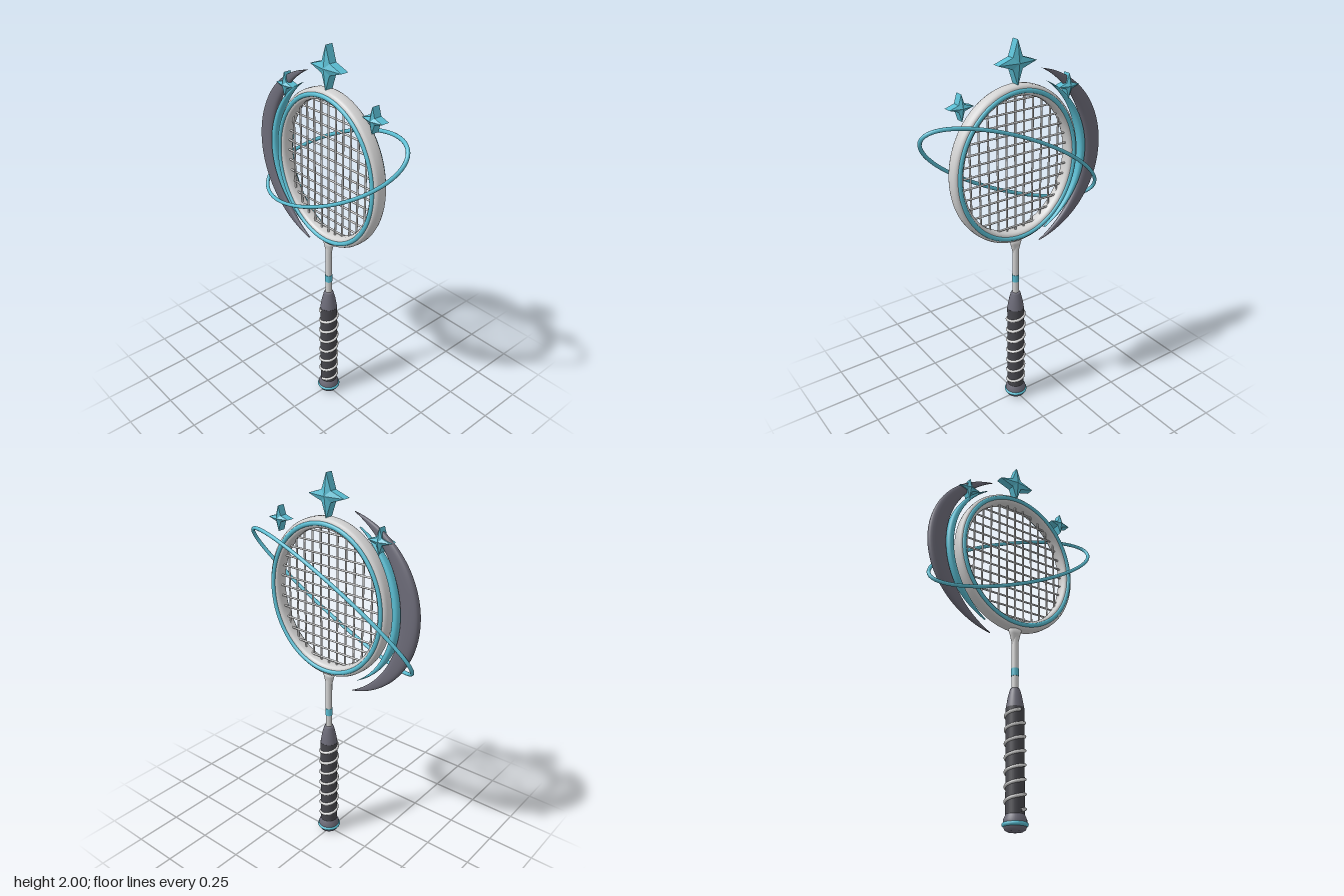
import * as THREE from 'three';

const mat = (name, color, side = THREE.FrontSide) => {
  const m = new THREE.MeshStandardMaterial({ color, side });
  m.name = name;
  return m;
};

const roundOff = (c, power) => Math.sign(c) * Math.abs(c) ** power;

// Surface from a point rule p(u, v), u and v in 0..1; v always closes, u closes on request
function loft(p, nu, nv, closedU) {
  const pos = [], idx = [], rows = closedU ? nu : nu + 1;
  for (let i = 0; i < rows; i++)
    for (let j = 0; j < nv; j++) pos.push(...p(i / nu, j / nv));
  for (let i = 0; i < nu; i++)
    for (let j = 0; j < nv; j++) {
      const a = i * nv + j, b = ((i + 1) % rows) * nv + j;
      const c = ((i + 1) % rows) * nv + (j + 1) % nv, d = i * nv + (j + 1) % nv;
      idx.push(a, b, c, a, c, d);
    }
  const g = new THREE.BufferGeometry();
  g.setAttribute('position', new THREE.Float32BufferAttribute(pos, 3));
  g.setIndex(idx);
  g.computeVertexNormals();
  return g;
}

// Oval hoop with a rounded section; power < 1 squares the section off
function hoop(rx, ry, w, h, z, power = 1) {
  return loft((u, v) => {
    const a = u * Math.PI * 2, b = v * Math.PI * 2;
    const r = w * roundOff(Math.cos(b), power);
    return [(rx + r) * Math.cos(a), (ry + r) * Math.sin(a), z + h * roundOff(Math.sin(b), power)];
  }, 96, 16, true);
}

// Crescent opening to +x: tips at (tipX, +-h), sagOut / sagIn are the depths of its two arcs
function crescent(tipX, h, sagOut, sagIn, thick) {
  const arc = (s, t) => {
    const R = (h * h + s * s) / (2 * s), al = Math.asin(h / R);
    const a = Math.PI - al + 2 * al * t;
    return [tipX - s + R + R * Math.cos(a), R * Math.sin(a)];
  };
  return loft((t, v) => {
    const o = arc(sagOut, t), i = arc(sagIn, t), b = v * Math.PI * 2;
    const k = (1 + roundOff(Math.cos(b), 0.8)) / 2;
    const th = thick * (0.2 + 0.8 * Math.sin(Math.PI * t));
    return [i[0] + (o[0] - i[0]) * k, i[1] + (o[1] - i[1]) * k, th * roundOff(Math.sin(b), 0.7)];
  }, 48, 20, false);
}

// Four-pointed star with straight sides, a thick rim and raised centres
function star(r, inner, rim, peak) {
  const pts = [], pos = [];
  for (let i = 0; i < 8; i++) {
    const a = i * Math.PI / 4, d = i % 2 ? r * inner : r;
    pts.push([d * Math.cos(a), d * Math.sin(a)]);
  }
  pts.forEach((p, i) => {
    const q = pts[(i + 1) % 8];
    pos.push(0, 0, peak, ...p, rim, ...q, rim);
    pos.push(0, 0, -peak, ...q, -rim, ...p, -rim);
    pos.push(...p, rim, ...p, -rim, ...q, -rim, ...p, rim, ...q, -rim, ...q, rim);
  });
  const g = new THREE.BufferGeometry();
  g.setAttribute('position', new THREE.Float32BufferAttribute(pos, 3));
  g.computeVertexNormals();
  return g;
}

const lathe = pts => new THREE.LatheGeometry(pts.map(p => new THREE.Vector2(...p)), 32);

class RuleCurve extends THREE.Curve {
  constructor(rule) { super(); this.rule = rule; }
  getPoint(t, target = new THREE.Vector3()) { return target.set(...this.rule(t)); }
}

export function createModel() {
  const root = new THREE.Group();
  root.name = 'racket';
  const silver = mat('silver', 0xd2d2d2);
  const teal = mat('teal', 0x5abdd2);
  const slate = mat('slate', 0x6c6b78, THREE.DoubleSide);
  const dark = mat('dark grip', 0x47474d);
  const cx = 0.006, headY = 1.397;
  const add = (name, geo, m, x = cx, y = 0, z = 0, parent = root) => {
    const mesh = new THREE.Mesh(geo, m);
    mesh.name = name;
    mesh.position.set(x, y, z);
    parent.add(mesh);
    return mesh;
  };

  // Head frame with an inlaid ring on each face
  add('headFrame', hoop(0.333, 0.373, 0.028, 0.037, 0, 0.7), silver, cx, headY);
  for (const s of [1, -1])
    add(s > 0 ? 'frontRing' : 'backRing', hoop(0.333, 0.373, 0.011, 0.009, s * 0.037), teal, cx, headY);

  // String bed
  const strings = new THREE.Group();
  strings.name = 'strings';
  root.add(strings);
  const rx = 0.312, ry = 0.352;
  for (let i = -5; i <= 5; i++) {
    const x = i * 0.051, len = 2 * ry * Math.sqrt(1 - (x / rx) ** 2);
    add('mainString', new THREE.CylinderGeometry(0.005, 0.005, len, 8), silver, cx + x, headY, 0.002, strings);
  }
  for (let i = -6; i <= 6; i++) {
    const y = i * 0.054, len = 2 * rx * Math.sqrt(1 - (y / ry) ** 2);
    add('crossString', new THREE.CylinderGeometry(0.005, 0.005, len, 8), silver, cx, headY + y, -0.002, strings)
      .rotation.z = Math.PI / 2;
  }

  // Shaft, throat and band
  add('shaft', new THREE.CylinderGeometry(0.017, 0.017, 0.36, 24), silver, cx, 0.83);
  add('throat', lathe([[0.017, 0.92], [0.021, 0.94], [0.03, 0.975], [0.038, 1.0], [0, 1.01]]), silver)
    .scale.z = 0.65;
  add('shaftBand', new THREE.CylinderGeometry(0.019, 0.019, 0.04, 24), teal, cx, 0.769);

  // Handle
  add('gripCone', lathe([[0.045, 0.58], [0.042, 0.6], [0.035, 0.64], [0.026, 0.675], [0.022, 0.684], [0, 0.684]]), slate);
  add('grip', new THREE.CylinderGeometry(0.045, 0.045, 0.515, 32), dark, cx, 0.327);
  const turns = 7;
  const wrap = new RuleCurve(t => {
    const a = t * turns * Math.PI * 2;
    return [0.046 * Math.sin(a), 0.092 + 0.475 * t, 0.046 * Math.cos(a)];
  });
  add('gripWrap', new THREE.TubeGeometry(wrap, 224, 0.008, 8), silver);
  add('buttCap', lathe([[0, 0], [0.036, 0.002], [0.049, 0.01], [0.056, 0.03], [0.055, 0.055], [0.046, 0.075], [0.044, 0.08], [0, 0.08]]), slate);
  add('buttRing', new THREE.TorusGeometry(0.052, 0.01, 12, 40), teal, cx, 0.033).rotation.x = Math.PI / 2;

  // Nested crescents beside the head
  add('outerCrescent', crescent(-0.15, 0.45, 0.37, 0.272, 0.024), slate, cx, headY);
  add('innerCrescent', crescent(-0.18, 0.385, 0.24, 0.202, 0.03), teal, cx, headY);

  // Tilted orbit ring, passing behind the head above and in front below
  const orbit = new RuleCurve(t => {
    const c = Math.cos(t * Math.PI * 2), s = Math.sin(t * Math.PI * 2);
    return [0.498 * c, 0.223 * c + 0.168 * s, 0.01 * c - 0.1 * s];
  });
  add('orbitRing', new THREE.TubeGeometry(orbit, 128, 0.0095, 10, true), teal, cx, headY);

  // Stars over the head
  add('topStar', star(0.105, 0.36, 0.02, 0.034), teal, cx, 1.895);
  for (const s of [1, -1])
    add(s > 0 ? 'leftStar' : 'rightStar', star(0.062, 0.34, 0.02, 0.034), teal, cx + s * 0.3, 1.742);

  return root;
}
